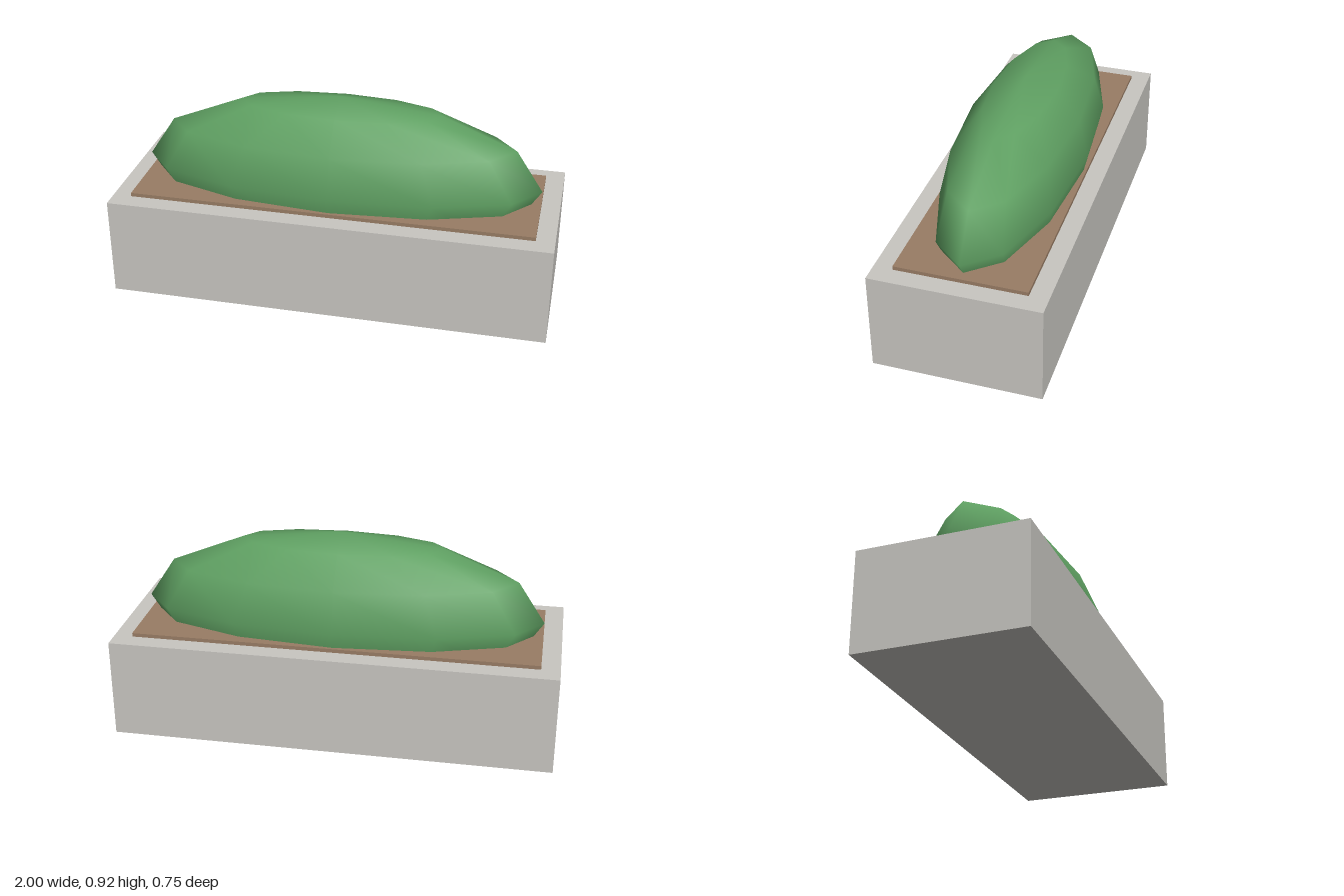
import * as THREE from 'three';

export function createModel() {
  const group = new THREE.Group();
  const stone = new THREE.MeshStandardMaterial({ color: 0xc8c6c1 });
  stone.name = 'stone';
  const earth = new THREE.MeshStandardMaterial({ color: 0x997d65 });
  earth.name = 'soil brown';
  const leaf = new THREE.MeshStandardMaterial({ color: 0x5fa062 });
  leaf.name = 'leaf green';

  const add = (name, geometry, material, y) => {
    const mesh = new THREE.Mesh(geometry, material);
    mesh.name = name;
    mesh.position.y = y;
    group.add(mesh);
    return mesh;
  };

  // Solid planter block
  add('planter', new THREE.BoxGeometry(2, 0.458, 0.75), stone, 0.229);

  // Thin bed of soil, sunk slightly into the planter
  add('soil', new THREE.BoxGeometry(1.832, 0.035, 0.58), earth, 0.4575);

  // Low-sided, smooth-shaded shrub stretched along the planter
  const shrub = add('shrub', new THREE.SphereGeometry(1, 12, 6), leaf, 0.542);
  shrub.scale.set(0.916, 0.375, 0.29);

  return group;
}
